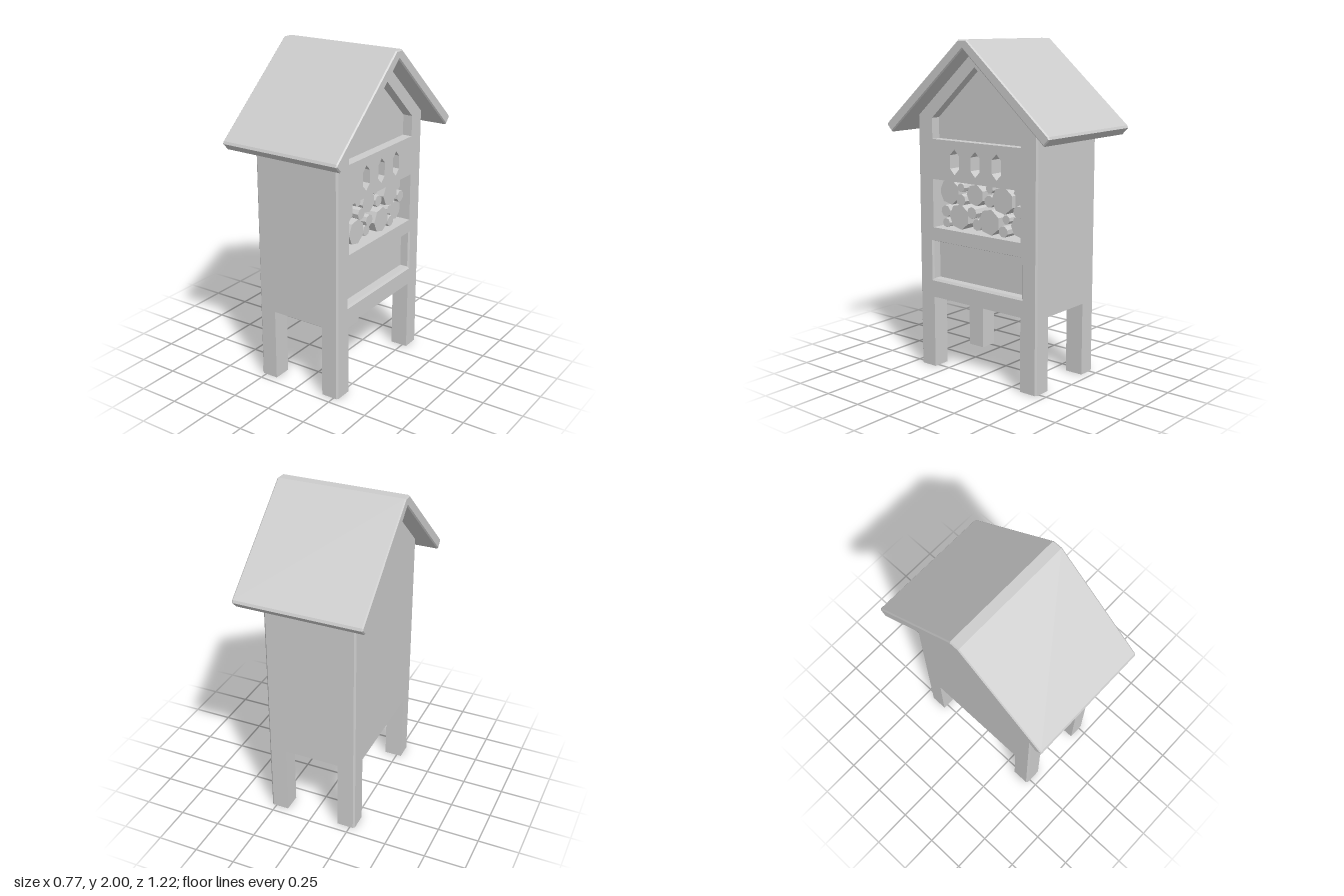
import * as THREE from 'three';

const material = new THREE.MeshStandardMaterial({ color: 0xcccccc, flatShading: true });

const outline = (pts) => pts.map(([u, v]) => new THREE.Vector2(u, v));

// Mirrors a right-hand half profile across u = 0
const mirrored = (half) => outline([
  ...half,
  ...half.slice().reverse().filter(([u]) => u !== 0).map(([u, v]) => [-u, v]),
]);

const rect = (w, y0, y1) => outline([[-w, y0], [w, y0], [w, y1], [-w, y1]]);

// Extrudes a (z, y) profile along x, from x0 to x1
function slab(points, holes, x0, x1, bevel = 0) {
  const shape = new THREE.Shape(points);
  shape.holes = holes.map((h) => new THREE.Path(h));
  const geo = new THREE.ExtrudeGeometry(shape, {
    depth: x1 - x0 - 2 * bevel,
    bevelEnabled: bevel > 0,
    bevelThickness: bevel,
    bevelSize: bevel,
    bevelOffset: -bevel,
    bevelSegments: 1,
  });
  return geo.rotateY(Math.PI / 2).translate(x0 + bevel, 0, 0);
}

export function createModel() {
  const model = new THREE.Group();
  const add = (name, geo, parent = model) => {
    const mesh = new THREE.Mesh(geo, material);
    mesh.name = name;
    parent.add(mesh);
    return mesh;
  };

  // Gabled body, layered along x so each recess has its own depth
  const gable = mirrored([[0.45, 0.445], [0.45, 1.55], [0, 1.942]]);
  const gableRecess = mirrored([[0.335, 1.415], [0.335, 1.54], [0, 1.845]]);
  const rodBay = rect(0.335, 0.88, 1.175);
  const lowerPanel = rect(0.34, 0.56, 0.795);
  const slots = [-0.16, 0, 0.16].map((c) => outline([
    [c, 1.215], [c + 0.035, 1.25], [c + 0.035, 1.33],
    [c, 1.365], [c - 0.035, 1.33], [c - 0.035, 1.25],
  ]));
  const deep = [rodBay, ...slots];
  const all = [...deep, gableRecess, lowerPanel];
  const body = new THREE.Group();
  body.name = 'body';
  model.add(body);
  const layers = [
    ['backFace', -0.28, -0.27, []],
    ['backWall', -0.27, -0.18, []],
    ['core', -0.18, 0.22, deep],
    ['openWall', 0.22, 0.27, all],
    ['openFace', 0.27, 0.28, all],
  ];
  for (const [name, x0, x1, holes] of layers) {
    const geo = slab(gable, holes, x0, x1);
    const p = geo.attributes.position;
    // Chamfer the upright corners and the lower panel's rim on the outer faces
    for (let i = 0; i < p.count; i++) {
      if (Math.abs(p.getX(i)) < 0.279) continue;
      const y = p.getY(i), z = p.getZ(i), s = Math.sign(z);
      if (Math.abs(z) > 0.44) p.setZ(i, s * 0.44);
      else if (Math.abs(z) > 0.338 && y < 0.8) {
        p.setZ(i, s * 0.35);
        p.setY(i, y < 0.7 ? 0.547 : 0.799);
      }
    }
    geo.computeVertexNormals();
    add(name, geo, body);
  }

  // Four legs with a chamfered outer corner
  for (const sx of [-1, 1]) for (const sz of [-1, 1]) {
    const foot = new THREE.Shape(outline(
      [[0.17, 0.335], [0.28, 0.335], [0.28, 0.44], [0.27, 0.45], [0.17, 0.45]]
        .map(([x, z]) => [sx * x, sz * z])));
    const geo = new THREE.ExtrudeGeometry(foot, { depth: 0.445, bevelEnabled: false });
    add('leg', geo.rotateX(-Math.PI / 2));
  }

  // Roof: a bevelled chevron with a flattened ridge
  const roof = mirrored([
    [0, 1.948], [0.57, 1.45], [0.609, 1.49], [0.602, 1.505], [0.03, 2],
  ]);
  add('roof', slab(roof, [], -0.385, 0.385, 0.007));

  // Rods stacked in the bay: z, y, radius, sides
  const rods = [
    [0.265, 1.095, 0.078, 7], [0.05, 1.1, 0.065, 7], [-0.17, 1.095, 0.08, 7],
    [-0.275, 1.113, 0.06, 7], [0.175, 0.955, 0.078, 7], [-0.07, 0.957, 0.078, 7],
    [-0.272, 0.95, 0.063, 7], [0.16, 1.133, 0.027, 8], [0.148, 1.063, 0.036, 8],
    [-0.048, 1.145, 0.027, 8], [-0.058, 1.075, 0.036, 8], [-0.285, 1.042, 0.036, 8],
    [0.297, 0.974, 0.036, 8], [0.28, 0.907, 0.028, 8], [0.063, 0.995, 0.036, 8],
    [0.048, 0.92, 0.036, 8], [-0.185, 0.984, 0.027, 8], [-0.175, 0.915, 0.034, 8],
  ];
  const stack = new THREE.Group();
  stack.name = 'rods';
  model.add(stack);
  rods.forEach(([z, y, r, sides], i) => {
    const length = 0.39 + 0.015 * (i % 3);
    const geo = new THREE.CylinderGeometry(r, r, length, sides);
    geo.rotateY(i * 0.9).rotateZ(Math.PI / 2);
    add('rod', geo, stack).position.set(-0.18 + length / 2, y, z);
  });

  return model;
}
